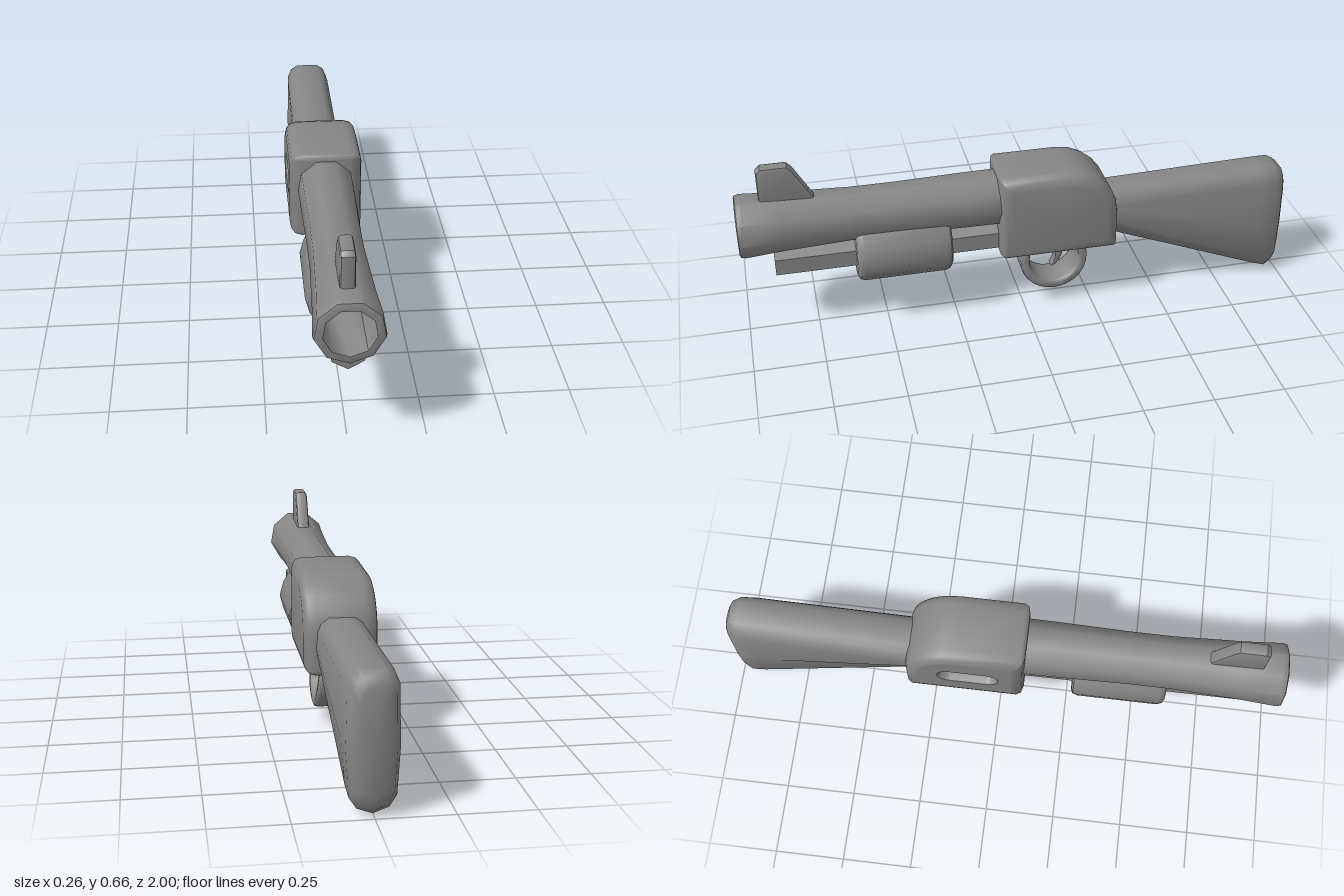
import * as THREE from 'three';
import { toCreasedNormals } from 'three/addons/utils/BufferGeometryUtils.js';

const steel = new THREE.MeshStandardMaterial({ color: 0x868686 });
const steelDouble = new THREE.MeshStandardMaterial({ color: 0x868686, side: THREE.DoubleSide });
const V2 = (x, y) => new THREE.Vector2(x, y);

// Skin a list of equal-length rings, with optional fan caps at either end
function loft(rings, capStart = true, capEnd = true) {
  const n = rings[0].length, pos = [], idx = [];
  rings.forEach((ring) => ring.forEach((p) => pos.push(p.x, p.y, p.z)));
  for (let i = 0; i < rings.length - 1; i++) {
    for (let j = 0; j < n; j++) {
      const k = (j + 1) % n, a = i * n + j, b = i * n + k;
      idx.push(a, b, b + n, a, b + n, a + n);
    }
  }
  const cap = (r, flip) => {
    const c = new THREE.Vector3();
    rings[r].forEach((p) => c.addScaledVector(p, 1 / n));
    const ci = pos.length / 3;
    pos.push(c.x, c.y, c.z);
    for (let j = 0; j < n; j++) {
      const a = r * n + j, b = r * n + (j + 1) % n;
      idx.push(ci, flip ? b : a, flip ? a : b);
    }
  };
  if (capStart) cap(0, true);
  if (capEnd) cap(rings.length - 1, false);
  const g = new THREE.BufferGeometry();
  g.setAttribute('position', new THREE.Float32BufferAttribute(pos, 3));
  g.setIndex(idx);
  return g;
}

// Move every vertex of a geometry by a rule
function reshape(geo, rule) {
  const p = geo.attributes.position, v = new THREE.Vector3();
  for (let i = 0; i < p.count; i++) {
    rule(v.fromBufferAttribute(p, i));
    p.setXYZ(i, v.x, v.y, v.z);
  }
  return geo;
}

// Side outlines are drawn as (-z, y); this places one at a given x
const atX = (pts, x) => pts.map((p) => new THREE.Vector3(x, p.y, -p.x));

// Extrude a side outline across x, centred, with a bevel kept inside the outline
function sidePlate(shape, width, bevel, curveSegments = 8) {
  return new THREE.ExtrudeGeometry(shape, {
    depth: width - 2 * bevel, bevelThickness: bevel, bevelSize: bevel,
    bevelOffset: -bevel, bevelSegments: 2, curveSegments,
  }).translate(0, 0, bevel - width / 2).rotateY(Math.PI / 2);
}

// Turned part lying along z, with a corner at the bottom
const turned = (profile, sides) =>
  new THREE.LatheGeometry(profile.map(([r, z]) => V2(r, z)), sides).rotateX(Math.PI / 2);

// Rounded outline: each corner is [centreX, centreY, radius, start angle]
function roundedOutline(corners, steps) {
  const pts = [];
  for (const [cx, cy, r, a0] of corners) {
    for (let i = 0; i <= steps; i++) {
      const a = a0 + (i / steps) * Math.PI / 2;
      pts.push(V2(cx + r * Math.cos(a), cy + r * Math.sin(a)));
    }
  }
  return pts;
}

// Receiver side profile shrunk by an inset, with a broad curve at the top rear
function receiverOutline(inset) {
  const s0 = -0.09 + inset, s1 = 0.34 - inset, y0 = 0.233 + inset, y1 = 0.556 - inset;
  const r = Math.max(0.018 - inset, 0.004), R = 0.185 - inset;
  return roundedOutline([
    [s0 + r, y0 + r, r, Math.PI],
    [s1 - r, y0 + r, r, Math.PI * 1.5],
    [s1 - R, y1 - R, R, 0],
    [s0 + r, y1 - r, r, Math.PI / 2],
  ], 6);
}

// Capsule outline of the ejection slot
const slotOutline = (r) => new THREE.Path()
  .absarc(0.175, 0.39, r, -Math.PI / 2, Math.PI / 2)
  .absarc(0.045, 0.39, r, Math.PI / 2, Math.PI * 1.5)
  .getPoints(10);

// Stock cross-section at z, from bottom y to top y, with half width w
function stockRing(z, bottom, top, w) {
  const half = [
    [0.6 * w, bottom + 0.018], [0.89 * w, bottom + 0.055],
    [w, bottom + (top - bottom) * 0.45],
    [0.95 * w, top - 0.05], [0.8 * w, top - 0.02], [0.5 * w, top - 0.003],
  ];
  const left = half.map(([x, y]) => new THREE.Vector3(x, y, z));
  const right = half.map(([x, y]) => new THREE.Vector3(-x, y, z)).reverse();
  return [new THREE.Vector3(0, bottom, z), ...left, ...right];
}

export function createModel() {
  const group = new THREE.Group();
  const add = (name, geo, crease = 0.8, mat = steel) => {
    const mesh = new THREE.Mesh(toCreasedNormals(geo, crease), mat);
    mesh.name = name;
    group.add(mesh);
  };

  // Flared barrel with hollow muzzle; the far end of the bore has a raised floor
  const barrel = turned([
    [0, 0], [0.101, 0], [0.099, 0.2], [0.094, 0.45], [0.094, 0.6], [0.104, 0.85],
    [0.113, 0.98], [0.109, 0.996], [0.1, 1], [0.083, 1], [0.081, 0.75], [0, 0.75],
  ], 9);
  add('barrel', reshape(barrel, (v) => {
    if (Math.abs(v.z - 0.75) < 0.001) v.y = Math.max(v.y, -0.035 - 0.3 * Math.abs(v.x));
    v.y += 0.438;
  }), 0.75);

  // Front sight fin
  const fin = new THREE.Shape([
    V2(-0.916, 0.518), V2(-0.72, 0.518), V2(-0.793, 0.645), V2(-0.81, 0.662), V2(-0.9, 0.662), V2(-0.916, 0.648),
  ]);
  add('frontSight', sidePlate(fin, 0.048, 0.012), 0.6);

  // Hexagonal magazine rod
  add('magazineRod', new THREE.CylinderGeometry(0.06, 0.06, 0.86, 6)
    .rotateX(Math.PI / 2).translate(0.006, 0.286, 0.455), 0.5);

  // Sliding grip around the rod, squared off where it meets the barrel
  const grip = turned([
    [0, 0.263], [0.092, 0.263], [0.106, 0.27], [0.112, 0.288],
    [0.112, 0.577], [0.106, 0.594], [0.092, 0.602], [0, 0.602],
  ], 12);
  add('pumpGrip', reshape(grip, (v) => {
    if (v.y > Math.abs(v.x)) {
      v.x *= 1.22;
      v.y *= 1.06;
    }
    v.x += 0.005;
    v.y += 0.287;
  }), 0.75);

  // Receiver body, open on the slot side
  const levels = [[-0.128, 0.042], [-0.123, 0.022], [-0.11, 0.007], [-0.085, 0]];
  const rings = [...levels, ...levels.map(([x, i]) => [-x, i]).reverse()]
    .map(([x, inset]) => atX(receiverOutline(inset), x));
  add('receiver', loft(rings, false, true), 0.75);

  // Slot side panel and the recessed ejection slot
  const panel = new THREE.Shape(receiverOutline(0.042));
  panel.holes.push(new THREE.Path(slotOutline(0.045)));
  add('slotPanel', new THREE.ShapeGeometry(panel).rotateY(Math.PI / 2).translate(-0.128, 0, 0), 0.5, steelDouble);
  const slotRings = [[-0.128, 0.045], [-0.12, 0.039], [-0.092, 0.036]]
    .map(([x, r]) => atX(slotOutline(r), x));
  add('ejectionSlot', loft(slotRings, false, true), 0.8, steelDouble);

  // Shoulder stock, widening downwards to a rounded butt
  add('stock', loft([
    stockRing(-1, 0.06, 0.405, 0.046),
    stockRing(-0.987, 0.022, 0.437, 0.068),
    stockRing(-0.955, 0, 0.456, 0.083),
    stockRing(-0.9, 0.02, 0.455, 0.087),
    stockRing(-0.3, 0.26, 0.437, 0.088),
  ]), 0.85);

  // Trigger guard ring, slightly wider towards the bottom
  const ring = new THREE.Shape().absarc(0.115, 0.18, 0.126, 0, Math.PI * 2);
  ring.holes.push(new THREE.Path().absarc(0.115, 0.18, 0.091, 0, Math.PI * 2, true));
  add('triggerGuard', reshape(sidePlate(ring, 0.1, 0.011, 14), (v) => {
    const drop = THREE.MathUtils.clamp((0.24 - v.y) / 0.16, 0, 1);
    v.x = v.x * (0.92 + 0.3 * Math.sin(drop * Math.PI / 2)) + 0.012;
  }), 0.8);

  // Crescent trigger
  const hook = new THREE.Shape();
  hook.moveTo(0.1, 0.25);
  hook.quadraticCurveTo(0.148, 0.18, 0.112, 0.125);
  hook.quadraticCurveTo(0.168, 0.15, 0.154, 0.25);
  add('trigger', sidePlate(hook, 0.04, 0.003, 6).translate(0.012, 0, 0), 0.7);

  return group;
}
